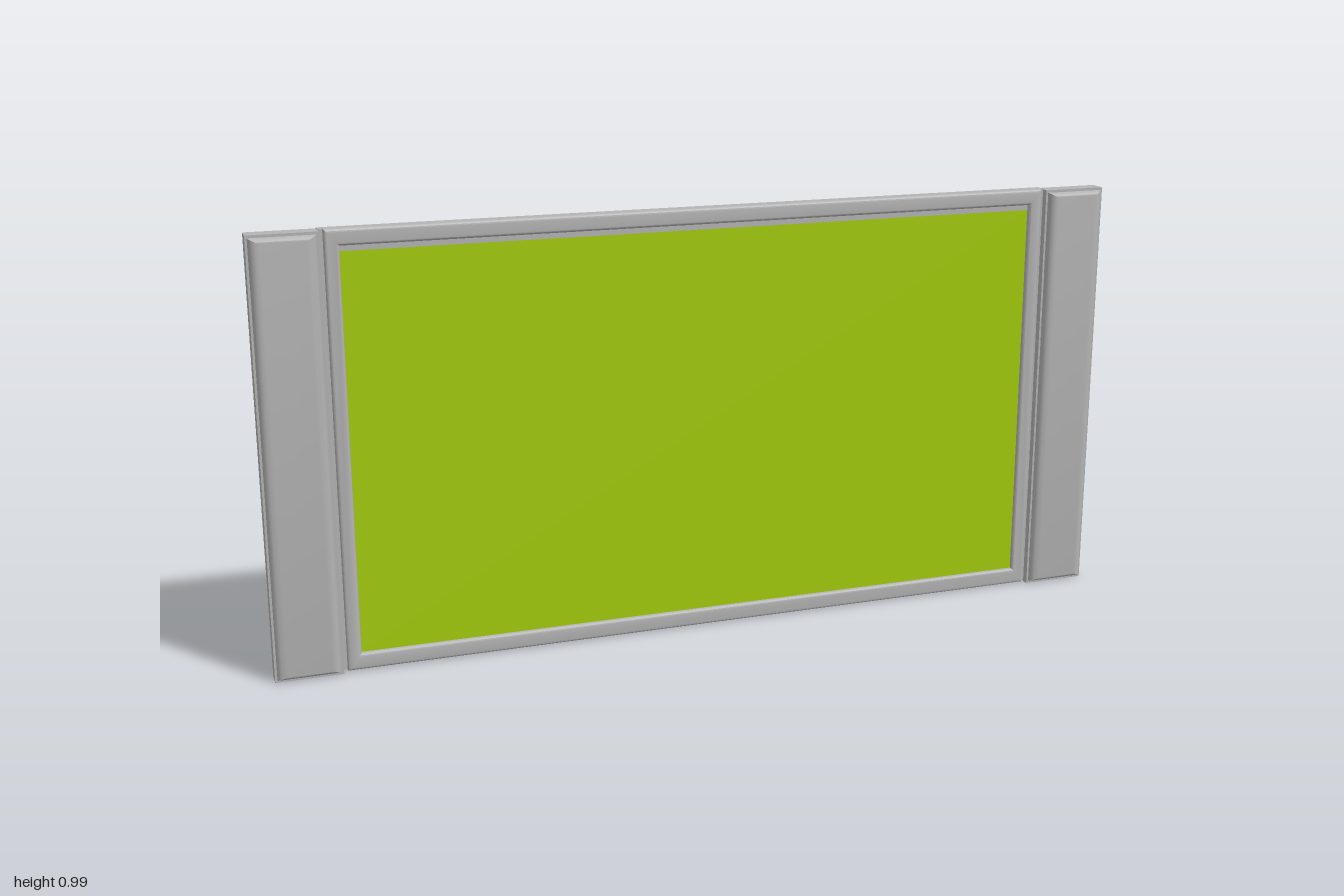
import * as THREE from 'three';
import { toCreasedNormals } from 'three/addons/utils/BufferGeometryUtils.js';

const casing = new THREE.MeshStandardMaterial({ color: 0xb4b4b4 });
casing.name = 'casingGrey';
const lime = new THREE.MeshStandardMaterial({ color: 0xa4cc0c });
lime.name = 'screenLime';

const BACK = -0.024;   // rear plane of the cabinet
const PANEL = -0.02;   // floor of the rear recess

function add(parent, name, geometry, material = casing) {
  const mesh = new THREE.Mesh(geometry, material);
  mesh.name = name;
  parent.add(mesh);
  return mesh;
}

// Box given by its minimum and maximum on each axis
function block(x0, x1, y0, y1, z0, z1) {
  return new THREE.BoxGeometry(x1 - x0, y1 - y0, z1 - z0)
    .translate((x0 + x1) / 2, (y0 + y1) / 2, (z0 + z1) / 2);
}

function rect(target, hw, y0, y1) {
  target.moveTo(-hw, y0);
  target.lineTo(hw, y0);
  target.lineTo(hw, y1);
  target.lineTo(-hw, y1);
  target.closePath();
  return target;
}

// Rectangular ring with an opening, outer and inner sizes as [halfWidth, y0, y1]
function ring(outer, inner, options) {
  const shape = rect(new THREE.Shape(), ...outer);
  shape.holes.push(rect(new THREE.Path(), ...inner));
  return new THREE.ExtrudeGeometry(shape, options);
}

// Cushion whose edges round off towards the front
function cushion(w, h, d, insetX, insetY) {
  const g = new THREE.BoxGeometry(w, h, 1, 1, 1, 5);
  const p = g.attributes.position;
  for (let i = 0; i < p.count; i++) {
    const a = (p.getZ(i) + 0.5) * Math.PI / 2;
    const k = 1 - Math.cos(a);
    p.setXYZ(i,
      p.getX(i) - Math.sign(p.getX(i)) * insetX * k,
      p.getY(i) - Math.sign(p.getY(i)) * insetY * k,
      d * Math.sin(a));
  }
  return toCreasedNormals(g, 0.5);
}

export function createModel() {
  const model = new THREE.Group();
  model.name = 'flatTelevision';

  // Cabinet with a recessed rear panel
  add(model, 'cabinet', block(-0.85, 0.85, 0.004, 0.991, PANEL, 0));
  add(model, 'rearRim', ring([0.85, 0.004, 0.991], [0.82, 0.024, 0.976],
    { depth: PANEL - BACK, bevelEnabled: false }).translate(0, 0, BACK));

  // Rounded bezel around the screen
  const bezel = ring([0.84, 0.003, 0.992], [0.808, 0.042, 0.955], {
    depth: 0.012, bevelThickness: 0.008, bevelSize: 0.007, bevelOffset: -0.007, bevelSegments: 4,
  }).translate(0, 0, -0.006);
  add(model, 'bezel', toCreasedNormals(bezel, 0.6));
  add(model, 'bezelStep', block(-0.808, 0.808, 0.943, 0.956, -0.002, 0.005));
  add(model, 'screen', block(-0.808, 0.808, 0.041, 0.943, -0.001, 0.004), lime);

  // Speakers on both sides
  for (const side of [-1, 1]) {
    const speaker = new THREE.Group();
    speaker.name = side > 0 ? 'leftSpeaker' : 'rightSpeaker';
    speaker.position.x = side * 0.925;
    add(speaker, 'speakerBox', block(-0.075, 0.075, 0, 0.989, BACK, 0.016));
    add(speaker, 'speakerFront', cushion(0.14, 0.977, 0.015, 0.022, 0.011))
      .position.set(0, 0.4945, 0.016);
    model.add(speaker);
  }

  // Rear cover plates
  add(model, 'largeCover', block(-0.175, 0.175, 0.39, 0.693, PANEL - 0.0015, PANEL));
  add(model, 'smallCover', block(-0.667, -0.415, 0.43, 0.623, PANEL - 0.0015, PANEL));

  // Two rows of four round sockets
  const socket = new THREE.CylinderGeometry(0.0075, 0.0075, 0.011, 16).rotateX(Math.PI / 2);
  for (const start of [0.003, 0.124]) {
    for (let i = 0; i < 4; i++) {
      add(model, 'roundSocket', socket).position.set(start + i * 0.0215, 0.317, PANEL - 0.0055);
    }
  }

  // Two wide sockets with rounded ends
  const slot = new THREE.Shape();
  slot.absarc(0.014, 0, 0.0075, -Math.PI / 2, Math.PI / 2);
  slot.absarc(-0.014, 0, 0.0075, Math.PI / 2, Math.PI * 1.5);
  const wide = new THREE.ExtrudeGeometry(slot, { depth: 0.011, bevelEnabled: false, curveSegments: 8 });
  for (const x of [-0.078, -0.158]) {
    add(model, 'wideSocket', wide).position.set(x, 0.317, PANEL - 0.011);
  }

  return model;
}
